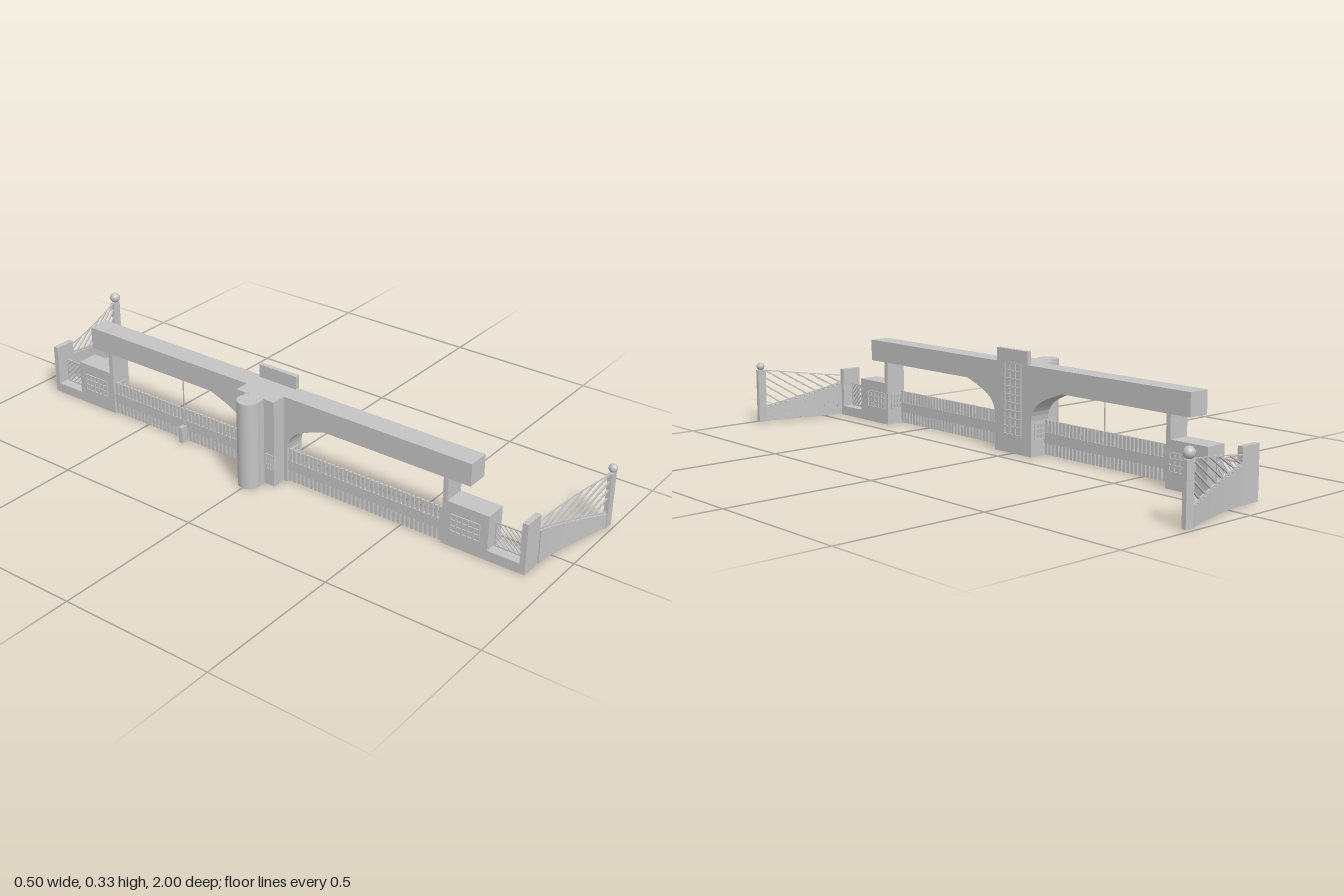
import * as THREE from 'three';

export function createModel() {
  const root = new THREE.Group();
  root.name = 'entranceGate';
  const concrete = new THREE.MeshStandardMaterial({ color: 0xc4c4c4 });
  concrete.name = 'paleGrey';

  const add = (name, geo, parent = root) => {
    const m = new THREE.Mesh(geo, concrete);
    m.name = name;
    parent.add(m);
    return m;
  };
  // Box given by its limits on each axis
  const block = (name, x0, x1, y0, y1, z0, z1, parent = root) => {
    const m = add(name, new THREE.BoxGeometry(x1 - x0, y1 - y0, Math.abs(z1 - z0)), parent);
    m.position.set((x0 + x1) / 2, (y0 + y1) / 2, (z0 + z1) / 2);
    return m;
  };
  // Square bar between two points
  const bar = (name, a, b, t, parent = root) => {
    const m = add(name, new THREE.BoxGeometry(t, t, a.distanceTo(b)), parent);
    m.position.copy(a).add(b).multiplyScalar(0.5);
    m.lookAt(b);
    return m;
  };
  // Raised window grid, facing +z before it is turned
  const windowGrid = (name, w, h, cols, rows, pos, turn) => {
    const g = new THREE.Group();
    g.name = name;
    const t = 0.004, d = 0.004;
    for (let i = 0; i <= cols; i++) {
      const x = -w / 2 + (w * i) / cols;
      block('mullion', x - t / 2, x + t / 2, -h / 2, h / 2, -d, d, g);
    }
    for (let j = 0; j <= rows; j++) {
      const y = -h / 2 + (h * j) / rows;
      block('transom', -w / 2, w / 2, y - t / 2, y + t / 2, -d, d, g);
    }
    g.position.set(...pos);
    g.rotation.y = turn;
    root.add(g);
  };

  const XB = -0.136, XF = -0.064; // back and front faces of the main wall

  // Overhead beam
  block('beam', XB, XF, 0.218, 0.29, -0.73, 0.73);

  // Central pillar with curved brackets under the beam
  const s = new THREE.Shape();
  s.moveTo(-0.084, 0);
  s.lineTo(0.084, 0);
  s.lineTo(0.084, 0.115);
  s.bezierCurveTo(0.088, 0.175, 0.14, 0.19, 0.222, 0.219);
  s.lineTo(-0.222, 0.219);
  s.bezierCurveTo(-0.14, 0.19, -0.088, 0.175, -0.084, 0.115);
  const pillar = new THREE.ExtrudeGeometry(s, { depth: XF - XB, bevelEnabled: false, curveSegments: 10 });
  pillar.rotateY(Math.PI / 2);
  add('centralPillar', pillar).position.x = XB;

  // Parapet and tall window on the pillar front
  block('parapet', -0.077, -0.062, 0.29, 0.333, -0.068, 0.072);
  windowGrid('tallWindow', 0.075, 0.23, 3, 9, [XF, 0.175, 0], Math.PI / 2);

  // Rear tower with a rounded stair shaft
  block('rearTower', -0.185, XB, 0, 0.29, -0.072, 0.072);
  block('shaftNeck', -0.218, -0.185, 0, 0.289, -0.034, 0.034);
  const shaft = add('stairShaft', new THREE.CylinderGeometry(0.036, 0.036, 0.29, 28));
  shaft.position.set(-0.216, 0.145, 0);
  windowGrid('rearWindow', 0.028, 0.05, 3, 3, [-0.185, 0.08, -0.053], -Math.PI / 2);
  windowGrid('rearWindow', 0.028, 0.05, 3, 3, [-0.185, 0.08, 0.053], -Math.PI / 2);

  for (const k of [-1, 1]) {
    // Guard house, slab support and end wall
    block('guardHouse', XB, XF, 0, 0.145, k * 0.642, k * 0.796);
    block('slabSupport', XB, XF, 0.145, 0.219, k * 0.642, k * 0.658);
    block('lowWall', XB, XF, 0, 0.032, k * 0.796, k * 0.902);
    block('endWall', XB, XF, 0, 0.165, k * 0.9, k * 0.918);
    windowGrid('frontWindow', 0.095, 0.055, 5, 3, [XF, 0.08, k * 0.705], Math.PI / 2);
    windowGrid('backWindow', 0.095, 0.055, 5, 3, [XB, 0.08, k * 0.72], -Math.PI / 2);
    windowGrid('innerWindow', 0.04, 0.05, 3, 3, [-0.1, 0.08, k * 0.642], k > 0 ? Math.PI : 0);
    windowGrid('pillarSideWindow', 0.04, 0.05, 3, 3, [-0.1, 0.08, k * 0.084], k > 0 ? 0 : Math.PI);

    // Lattice screen beside the guard house
    const V = (x, y, z) => new THREE.Vector3(x, y, z * k);
    const z0 = 0.8, z1 = 0.892, y0 = 0.034, y1 = 0.11, xs = -0.1;
    for (const y of [y0, y1]) bar('screenRail', V(xs, y, z0), V(xs, y, z1), 0.004);
    for (const z of [z0, z1]) bar('screenStile', V(xs, y0, z), V(xs, y1, z), 0.004);
    for (let i = 1; i < 10; i++) {
      const c = (i / 10) * (z1 - z0 + y1 - y0); // diagonal where dz + dy = c
      const a = Math.max(0, c - (y1 - y0)), b = Math.min(z1 - z0, c);
      bar('screenSlat', V(xs, y0 + c - a, z0 + a), V(xs, y0 + c - b, z0 + b), 0.003);
    }

    // Sliding fence with a solid middle band
    const gx = -0.126, n = 35, step = (0.642 - 0.084) / n;
    block('fenceBand', gx - 0.005, gx + 0.005, 0.039, 0.073, k * 0.084, k * 0.642);
    for (let i = 0; i < n; i++) {
      const z = 0.084 + (i + 0.5) * step;
      block('fencePale', gx - 0.004, gx + 0.004, 0.002, 0.113, k * (z - 0.0047), k * (z + 0.0047));
    }

    // Curved wing: stepped wall, rails, slanting bars
    const wing = new THREE.Group();
    wing.name = 'wing';
    root.add(wing);
    const P = (t, y) => V(-0.064 + 0.284 * t, y, 0.917 + 0.064 * Math.pow(t, 1.4));
    const low = (t) => 0.118 - 0.064 * t, top = (t) => 0.142 + 0.041 * t;
    const N = 16;
    for (let i = 0; i < N; i++) {
      const a = P(i / N, 0), b = P((i + 1) / N, 0);
      const h = 0.113 - (0.064 * (i + 0.5)) / N;
      const m = add('wingPanel', new THREE.BoxGeometry(0.01, h - 0.002, a.distanceTo(b)), wing);
      m.position.copy(a).add(b).multiplyScalar(0.5);
      m.lookAt(b);
      m.position.y = h / 2 + 0.002;
    }
    for (let i = 0; i < 8; i++) {
      const a = i / 8, b = (i + 1) / 8;
      bar('lowerRail', P(a, low(a)), P(b, low(b)), 0.005, wing);
      bar('upperRail', P(a, top(a)), P(b, top(b)), 0.003, wing);
    }
    for (let i = 0; i < 8; i++) {
      const t0 = 0.01 + i * 0.115, rise = 0.284 * (0.56 + 0.02 * i);
      const t1 = Math.min(1, (0.024 + 0.064 * t0 + rise * t0) / (rise - 0.041));
      bar('slantBar', P(t0, low(t0)), P(t1, low(t0) + rise * (t1 - t0)), 0.005, wing);
    }

    // Wing end post with ball finial
    block('wingPost', 0.217, 0.247, 0.002, 0.185, k * 0.974, k * 0.988, wing);
    const r = k < 0 ? 0.0175 : 0.0135;
    const ball = add('ballFinial', new THREE.SphereGeometry(r, 24, 16), wing);
    ball.position.set(0.233, 0.184 + r, k * 0.982);
  }

  // Gate drive box and its hanging cable
  block('driveBox', -0.155, -0.131, 0, 0.055, -0.343, -0.328);
  block('hangingCable', -0.134, -0.131, 0.05, 0.22, -0.337, -0.334);

  return root;
}
